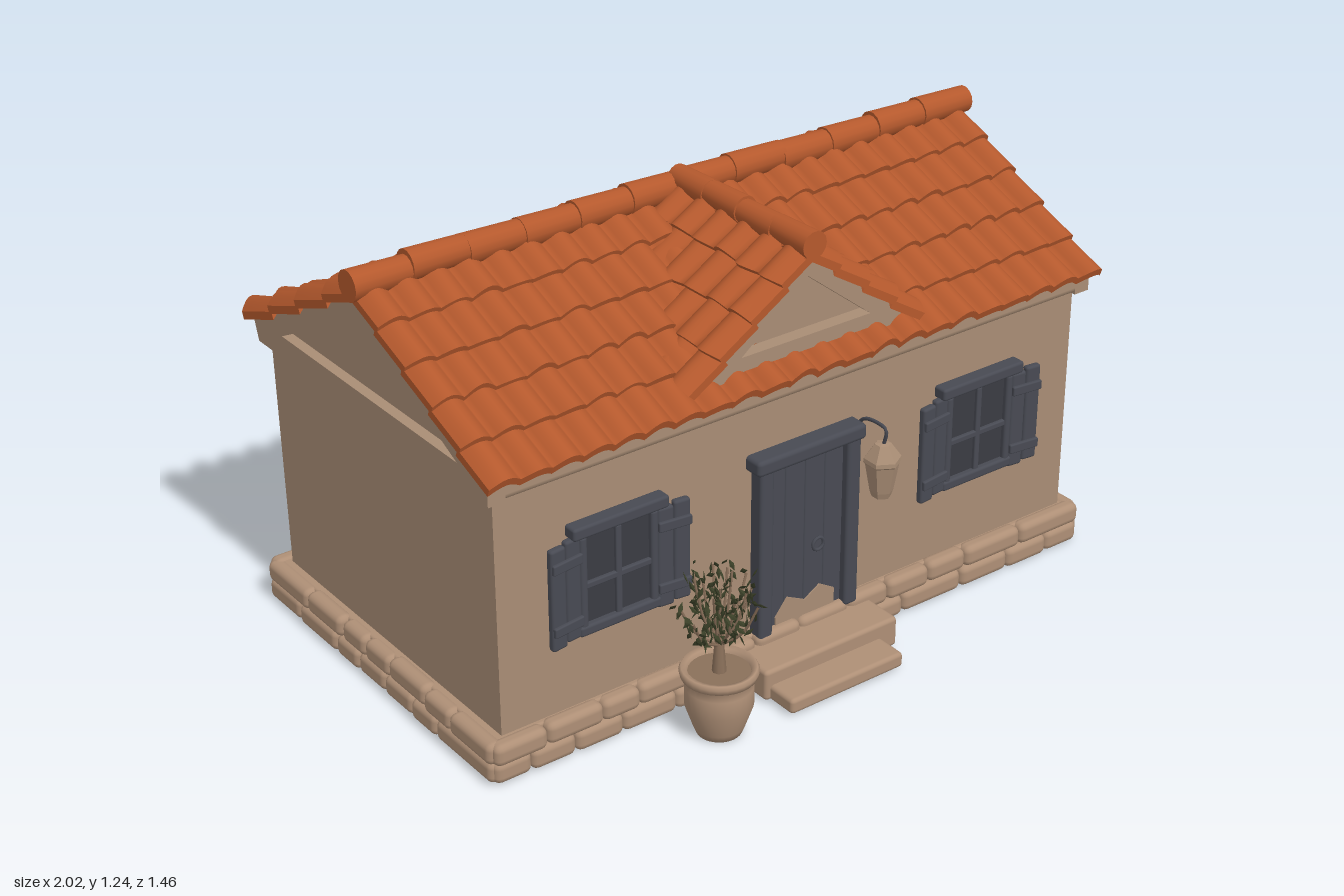
import * as THREE from 'three';
import { mergeGeometries } from 'three/addons/utils/BufferGeometryUtils.js';
import { RoundedBoxGeometry } from 'three/addons/geometries/RoundedBoxGeometry.js';

const mat = (name, color, side = THREE.FrontSide) => {
  const m = new THREE.MeshStandardMaterial({ color, side });
  m.name = name;
  return m;
};
const plaster = mat('plaster', 0xa98d75);
const stone = mat('stone', 0xae8f76);
const terracotta = mat('terracotta', 0xb5592d);
const paintedWood = mat('painted wood', 0x484a53);
const darkGlass = mat('dark glass', 0x3b3c43);
const bark = mat('bark', 0x8a705a);
const foliage = mat('foliage', 0x3a3f27);

let seed = 7;
const rand = (a = 0, b = 1) => {
  seed = (seed * 16807) % 2147483647;
  return a + (b - a) * (seed / 2147483647);
};

function add(parent, name, geo, material, x = 0, y = 0, z = 0) {
  const m = new THREE.Mesh(geo, material);
  m.name = name;
  m.position.set(x, y, z);
  parent.add(m);
  return m;
}
const box = (p, name, material, w, h, d, x, y, z, r = 0.008) =>
  add(p, name, new RoundedBoxGeometry(w, h, d, 2, Math.min(r, w / 2.1, h / 2.1, d / 2.1)), material, x, y, z);
const shapeOf = pts => new THREE.Shape(pts.map(p => new THREE.Vector2(...p)));
const extrude = (pts, depth, hole) => {
  const s = shapeOf(pts);
  if (hole) s.holes.push(shapeOf(hole));
  return new THREE.ExtrudeGeometry(s, { depth, bevelEnabled: false });
};
function group(parent, name, x = 0, y = 0, z = 0, ry = 0) {
  const g = new THREE.Group();
  g.name = name;
  g.position.set(x, y, z);
  g.rotation.y = ry;
  parent.add(g);
  return g;
}

// Overlapping rows of barrel tiles running down local +z from the ridge
function tiledSlope(parent, name, width, run, drop, rows, waves) {
  const slope = group(parent, name);
  const len = Math.hypot(run, drop), rowLen = len / rows;
  slope.rotation.order = 'YXZ';
  slope.rotation.x = Math.atan2(drop, run);
  for (let r = 0; r < rows; r++) {
    const geo = new THREE.BoxGeometry(width, 0.022, rowLen * 1.12, waves * 8, 1, 2);
    const jitter = Array.from({ length: waves + 1 }, () => [rand(-0.008, 0.008), rand(-0.004, 0.004)]);
    const p = geo.attributes.position;
    for (let i = 0; i < p.count; i++) {
      const u = (p.getX(i) / width + 0.5) * waves;
      const crest = Math.abs(Math.sin(Math.PI * u));
      const [jz, jy] = jitter[Math.min(waves, Math.floor(u + 1e-4))];
      const low = p.getZ(i) > 0.01 ? 1 : 0;
      p.setY(i, p.getY(i) + 0.028 * crest - 0.018 + jy * low * crest);
      p.setZ(i, p.getZ(i) + low * (0.01 * crest - 0.005 + jz * crest));
    }
    geo.computeVertexNormals();
    add(slope, 'tileRow', geo, terracotta, 0, 0, rowLen * (r + 0.5)).rotation.x = -0.1;
  }
  return slope;
}

// Row of slightly uneven half-round cap tiles along local x
function ridgeCap(parent, length, radius, count) {
  const cap = group(parent, 'ridgeCap');
  const step = length / count;
  for (let i = 0; i < count; i++) {
    const geo = new THREE.CylinderGeometry(radius, radius * 0.88, step * 1.06, 14);
    add(cap, 'ridgeTile', geo, terracotta, -length / 2 + step * (i + 0.5), rand(-0.005, 0.005), 0).rotation.z = Math.PI / 2;
  }
  return cap;
}

// Shuttered window, facing local +z
function windowUnit(parent, x, z, ry) {
  const w = group(parent, 'window', x, 0.48, z, ry);
  box(w, 'pane', darkGlass, 0.24, 0.28, 0.02, 0, 0, 0.004, 0.002);
  box(w, 'lintel', paintedWood, 0.29, 0.035, 0.045, 0, 0.16, 0.018);
  box(w, 'sill', paintedWood, 0.25, 0.03, 0.035, 0, -0.13, 0.014);
  box(w, 'mullion', paintedWood, 0.018, 0.27, 0.02, 0, 0, 0.014, 0.004);
  box(w, 'transom', paintedWood, 0.22, 0.018, 0.02, 0, -0.005, 0.014, 0.004);
  for (const s of [-1, 1]) {
    box(w, 'jamb', paintedWood, 0.022, 0.28, 0.03, s * 0.108, 0, 0.014);
    const sh = group(w, 'shutter', s * 0.165, -0.002, 0.022, -s * 0.12);
    for (const k of [-1, 1]) box(sh, 'shutterBoard', paintedWood, 0.048, 0.29, 0.022, k * 0.024, k * 0.004, 0);
    for (const k of [-1, 1]) box(sh, 'shutterBatten', paintedWood, 0.095, 0.028, 0.012, 0, k * 0.09, 0.014, 0.004);
  }
}

// Two courses of rounded stones, facing local +z
function stoneFace(parent, length, x, z, ry) {
  const g = group(parent, 'stoneCourse', x, 0, z, ry);
  for (let c = 0; c < 2; c++) {
    for (let a = -length / 2; a < length / 2 - 0.01;) {
      let w = rand(0.11, 0.22);
      if (length / 2 - a - w < 0.08) w = length / 2 - a;
      box(g, 'stone', stone, w, 0.063, 0.05, a + w / 2, 0.037 + c * 0.058 + rand(-0.003, 0.003), rand(-0.02, -0.012), 0.02);
      a += w;
    }
  }
}

export function createModel() {
  const house = new THREE.Group();
  house.name = 'cottage';

  // Walls with gabled ends
  const body = extrude([[0.4, 0.02], [0.4, 0.87], [-0.13, 1.13], [-0.66, 0.87], [-0.64, 0.02]].reverse(), 1.9);
  add(house, 'walls', body, plaster, 0.95).rotation.y = -Math.PI / 2;
  for (const z of [0.405, -0.655]) box(house, 'eaveCornice', plaster, 1.94, 0.075, 0.05, 0, 0.838, z, 0.02);

  // Recessed pediments on both ends
  const trim = [[0.43, 0.8], [0.43, 0.865], [-0.13, 1.145], [-0.69, 0.865], [-0.67, 0.8]];
  const opening = [[0.3, 0.865], [-0.13, 1.075], [-0.54, 0.865]];
  for (const x of [0.98, -0.93]) add(house, 'gableTrim', extrude(trim, 0.05, opening), plaster, x).rotation.y = -Math.PI / 2;

  // Chipped plaster on the left end
  const chips = [
    [[0.14, 0.72], [-0.06, 0.79], [0.02, 0.73], [0.08, 0.68], [0.1, 0.53], [0.12, 0.54]],
    [[0.04, 0.46], [-0.08, 0.59], [-0.1, 0.53], [-0.32, 0.4], [-0.08, 0.48]],
    [[0.06, 0.25], [-0.08, 0.33], [-0.34, 0.27], [-0.56, 0.4], [-0.58, 0.17], [-0.4, 0.27], [-0.1, 0.24]],
  ];
  for (const c of chips) add(house, 'plasterChip', extrude(c, 0.008), plaster, 0.957).rotation.y = -Math.PI / 2;

  // Stone plinth
  box(house, 'plinthCore', stone, 1.95, 0.115, 1.09, 0, 0.065, -0.13);
  stoneFace(house, 1.99, 0, 0.435, 0);
  stoneFace(house, 1.99, 0, -0.695, Math.PI);
  stoneFace(house, 1.12, 0.995, -0.13, Math.PI / 2);
  stoneFace(house, 1.12, -0.995, -0.13, -Math.PI / 2);

  // Main roof
  const roof = group(house, 'roof', 0, 1.165, -0.13);
  tiledSlope(roof, 'frontSlope', 1.99, 0.59, 0.295, 5, 22);
  tiledSlope(roof, 'backSlope', 1.99, 0.59, 0.295, 4, 22).rotation.y = Math.PI;
  ridgeCap(roof, 2, 0.043, 12).position.y = 0.012;

  // Dormer: gable block, recessed trim and its own little roof
  const dormer = group(house, 'dormer');
  add(dormer, 'dormerBlock', extrude([[-0.34, 0.88], [0.34, 0.88], [0, 1.15]], 0.4), plaster, 0, 0, -0.03);
  add(dormer, 'dormerTrim', extrude([[-0.37, 0.895], [-0.23, 0.895], [-0.2, 0.91], [0.2, 0.91], [0.23, 0.895], [0.37, 0.895], [0, 1.185]], 0.04,
    [[-0.21, 0.95], [0.21, 0.95], [0, 1.115]]), plaster, 0, 0, 0.37);
  const dormerRoof = group(dormer, 'dormerRoof', 0, 1.2, 0.15);
  for (const s of [-1, 1]) tiledSlope(dormerRoof, 'dormerSlope', 0.55, 0.385, 0.295, 4, 6).rotation.y = s * Math.PI / 2;
  const cap = ridgeCap(dormerRoof, 0.56, 0.038, 4);
  cap.rotation.y = Math.PI / 2;
  cap.position.y = 0.006;

  // Windows: two at the front, three at the back
  for (const x of [-0.6, 0.6]) windowUnit(house, x, 0.4, 0);
  for (const x of [-0.6, 0, 0.6]) windowUnit(house, x, -0.645, Math.PI);

  // Door with frame
  const door = group(house, 'door', 0, 0, 0.4);
  for (let i = 0; i < 4; i++) box(door, 'doorBoard', paintedWood, 0.067, 0.5, 0.03, -0.102 + i * 0.066, 0.36, 0.004, 0.005);
  box(door, 'lintel', paintedWood, 0.36, 0.045, 0.07, -0.005, 0.636, 0.02, 0.012);
  for (const s of [-1, 1]) box(door, 'doorPost', paintedWood, 0.045, 0.52, 0.05, s * 0.145, 0.37, 0.018, 0.01);
  add(door, 'wornPatch', extrude([[-0.1, 0.11], [0.1, 0.11], [0.1, 0.17], [0.05, 0.2], [0, 0.17], [-0.06, 0.2], [-0.1, 0.15]], 0.004), plaster, 0, 0, 0.019);
  add(door, 'handle', new THREE.TorusGeometry(0.018, 0.005, 6, 14), paintedWood, 0.04, 0.33, 0.025);

  // Entrance steps
  box(house, 'upperStep', stone, 0.45, 0.09, 0.15, -0.01, 0.055, 0.48, 0.012);
  box(house, 'lowerStep', stone, 0.38, 0.045, 0.24, -0.03, 0.033, 0.525, 0.012);

  // Hanging lantern on a curved bracket
  const lantern = group(house, 'lantern', 0.18, 0, 0.51);
  const arm = new THREE.CatmullRomCurve3([[-0.11, 0.62], [-0.08, 0.66], [-0.03, 0.672], [0.01, 0.665], [0, 0.61]].map(p => new THREE.Vector3(0, p[1], p[0])));
  add(lantern, 'bracket', new THREE.TubeGeometry(arm, 16, 0.005, 6), paintedWood);
  const lampProfile = [[0, 0.465], [0.026, 0.467], [0.032, 0.485], [0.046, 0.565], [0.051, 0.57], [0.05, 0.582], [0.022, 0.622], [0, 0.625]];
  const lampGeo = new THREE.LatheGeometry(lampProfile.map(p => new THREE.Vector2(...p)), 6).toNonIndexed();
  lampGeo.computeVertexNormals();
  add(lantern, 'lampBody', lampGeo, plaster);

  // Potted shrub
  const plant = group(house, 'pottedShrub', -0.4, 0, 0.57);
  const potProfile = [[0, 0.005], [0.06, 0.005], [0.068, 0.025], [0.09, 0.09], [0.09, 0.145], [0.08, 0.165], [0.1, 0.175], [0.104, 0.19], [0.098, 0.2], [0.085, 0.197], [0.08, 0.18]];
  add(plant, 'pot', new THREE.LatheGeometry(potProfile.map(p => new THREE.Vector2(...p)), 28), stone);
  add(plant, 'soil', new THREE.CylinderGeometry(0.083, 0.083, 0.01, 24), bark, 0, 0.18, 0);
  add(plant, 'trunk', new THREE.CylinderGeometry(0.011, 0.02, 0.11, 8), bark, 0, 0.23, 0);
  const leaves = [], twigs = [], dummy = new THREE.Object3D();
  for (let i = 0; i < 16; i++) {
    const a = i * 2.4, reach = 0.04 + 0.09 * ((i * 7) % 16) / 15, top = 0.54 - reach * 1.1 + rand(-0.05, 0.02);
    const at = (k, y) => new THREE.Vector3(Math.cos(a) * reach * k, y, Math.sin(a) * reach * k);
    const branch = new THREE.CatmullRomCurve3([at(0, 0.26), at(0.6, 0.26 + (top - 0.26) * 0.4), at(1, top)]);
    twigs.push(new THREE.TubeGeometry(branch, 6, 0.0035, 5));
    for (let j = 0; j < 13; j++) {
      branch.getPoint(0.3 + 0.7 * j / 12, dummy.position);
      dummy.position.add(new THREE.Vector3(rand(-0.02, 0.02), rand(-0.015, 0.015), rand(-0.02, 0.02)));
      dummy.rotation.set(rand(-0.9, 0.9), rand(0, 6.3), rand(-0.9, 0.9));
      dummy.scale.set(0.007, 0.018, 0.0025);
      dummy.updateMatrix();
      leaves.push(new THREE.OctahedronGeometry(1).applyMatrix4(dummy.matrix));
    }
  }
  add(plant, 'branches', mergeGeometries(twigs), bark);
  add(plant, 'leaves', mergeGeometries(leaves), foliage);

  return house;
}
